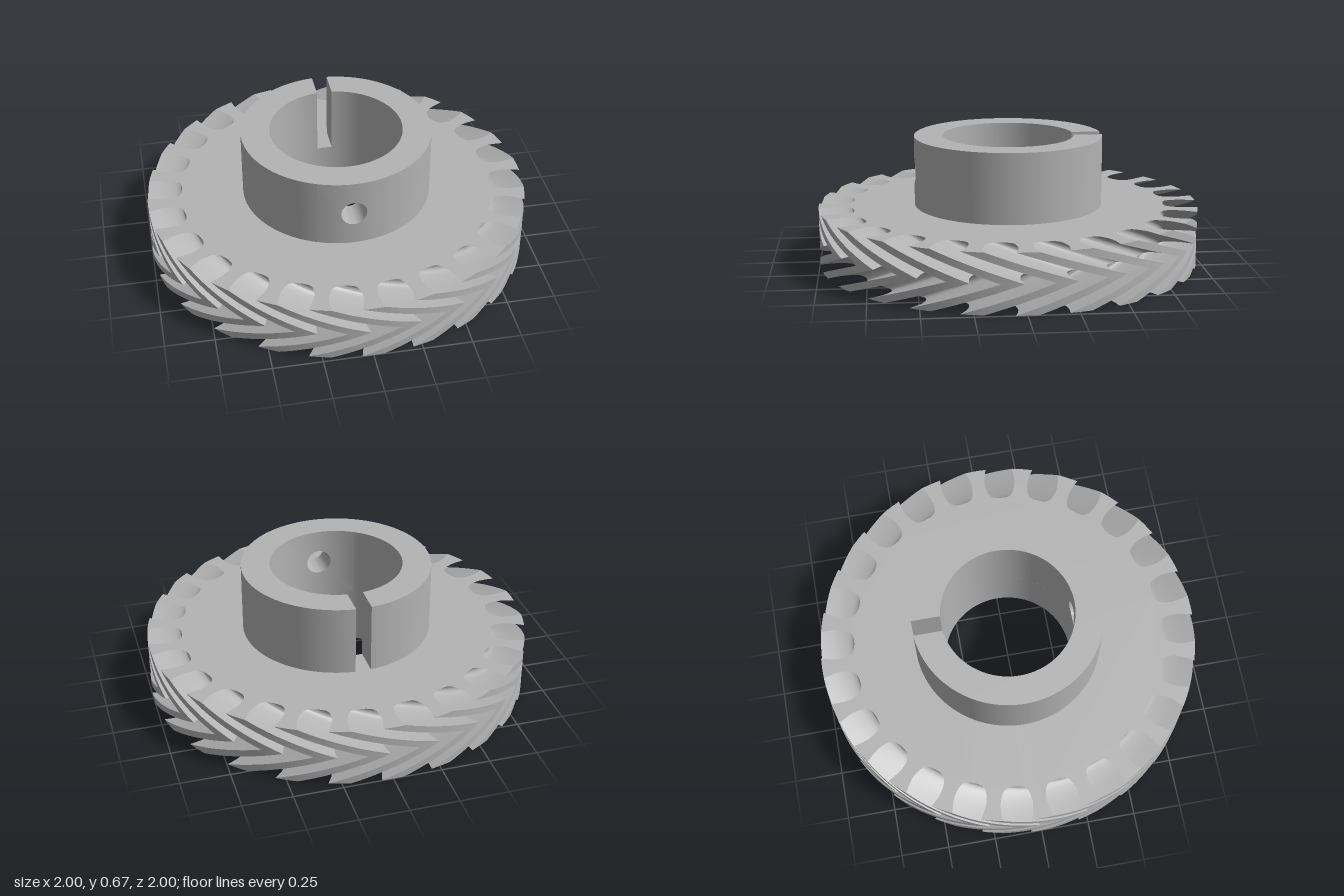
import * as THREE from 'three';
import { toCreasedNormals, mergeVertices } from 'three/addons/utils/BufferGeometryUtils.js';

const TEETH = 24, GEAR_H = 0.305, TWIST = THREE.MathUtils.degToRad(26);
const TOP = 0.67, HUB_R = 0.495, BORE_R = 0.345;
const SLOT = 0.04, HOLE_R = 0.066, PANEL = (TOP - GEAR_H) / 2;

const polar = (deg, r) => {
  const a = THREE.MathUtils.degToRad(deg);
  return new THREE.Vector2(r * Math.cos(a), r * Math.sin(a));
};

// Herringbone gear: toothed outline extruded in layers, twisted towards mid-height
function gearGeometry() {
  const pitch = 360 / TEETH;
  const gap = [[-4.3, 1], [-5.2, 0.925], [-4.8, 0.865], [-3.4, 0.83], [0, 0.82],
    [3.4, 0.83], [4.8, 0.865], [5.2, 0.925], [4.3, 1]];
  const outline = [];
  for (let i = 0; i < TEETH; i++) {
    const mid = (i + 0.5) * pitch;
    const curve = new THREE.SplineCurve(gap.map(([a, r]) => polar(mid + a, r)));
    outline.push(...curve.getPoints(20));
    for (const a of [6, 7.5, 9]) outline.push(polar(mid + a, 1));
  }
  const shape = new THREE.Shape(outline);
  shape.holes.push(new THREE.Path().absarc(0, 0, BORE_R, 0, Math.PI * 2, true));
  const geo = new THREE.ExtrudeGeometry(shape, {
    depth: GEAR_H, steps: 24, bevelEnabled: false, curveSegments: 96,
  });
  const pos = geo.attributes.position;
  for (let i = 0; i < pos.count; i++) {
    const x = pos.getX(i), y = pos.getY(i), z = pos.getZ(i);
    const a = TWIST * (1 - Math.abs(2 * z / GEAR_H - 1));
    pos.setXY(i, x * Math.cos(a) - y * Math.sin(a), x * Math.sin(a) + y * Math.cos(a));
  }
  geo.rotateX(-Math.PI / 2);
  return toCreasedNormals(geo, 0.3);
}

// One side of the split collar, from the front panel round to the rear slot
function collarSide(left) {
  const start = (r) => -Math.acos(PANEL / r), end = (r) => Math.acos(SLOT / r);
  const shape = new THREE.Shape();
  if (left) {
    shape.absarc(0, 0, HUB_R, start(HUB_R), end(HUB_R), false);
    shape.absarc(0, 0, BORE_R, end(BORE_R), start(BORE_R), true);
  } else {
    shape.absarc(0, 0, HUB_R, Math.PI - end(HUB_R), Math.PI - start(HUB_R), false);
    shape.absarc(0, 0, BORE_R, Math.PI - start(BORE_R), Math.PI - end(BORE_R), true);
  }
  const geo = new THREE.ExtrudeGeometry(shape, {
    depth: TOP - GEAR_H, bevelEnabled: false, curveSegments: 48,
  });
  geo.rotateX(-Math.PI / 2).translate(0, GEAR_H, 0);
  return toCreasedNormals(geo, 0.5);
}

// Curved front panel with a round screw hole: a closed loop swept about the hole
function holePanel() {
  const N = 48, STEPS = 6, loop = [];
  for (let i = 0; i <= STEPS; i++) loop.push([HUB_R, i / STEPS]);
  for (let i = STEPS; i >= 0; i--) loop.push([BORE_R, i / STEPS]);
  const M = loop.length, pos = [], idx = [];
  for (let j = 0; j < N; j++) {
    const c = Math.cos(j / N * Math.PI * 2), s = Math.sin(j / N * Math.PI * 2);
    const edge = PANEL / Math.max(Math.abs(c), Math.abs(s));
    for (const [r, t] of loop) {
      const d = THREE.MathUtils.lerp(HOLE_R, edge, t);
      const x = d * c;
      pos.push(x, GEAR_H + PANEL + d * s, Math.sqrt(r * r - x * x));
    }
    for (let i = 0; i < M; i++) {
      const k = (j + 1) % N, n = (i + 1) % M;
      const a = j * M + i, b = j * M + n, e = k * M + n, f = k * M + i;
      idx.push(a, b, e, a, e, f);
    }
  }
  const geo = new THREE.BufferGeometry();
  geo.setAttribute('position', new THREE.Float32BufferAttribute(pos, 3));
  geo.setIndex(idx);
  return toCreasedNormals(mergeVertices(geo), 0.5);
}

export function createModel() {
  const steel = new THREE.MeshStandardMaterial({ color: 0xb3b3b3 });
  steel.name = 'plain grey';
  const model = new THREE.Group();
  model.name = 'herringboneGear';
  const add = (name, geo, parent = model) => {
    const mesh = new THREE.Mesh(geo, steel);
    mesh.name = name;
    parent.add(mesh);
  };

  add('gearDisc', gearGeometry());

  const collar = new THREE.Group();
  collar.name = 'splitCollar';
  add('collarLeft', collarSide(true), collar);
  add('collarRight', collarSide(false), collar);
  add('screwHolePanel', holePanel(), collar);
  model.add(collar);
  return model;
}
